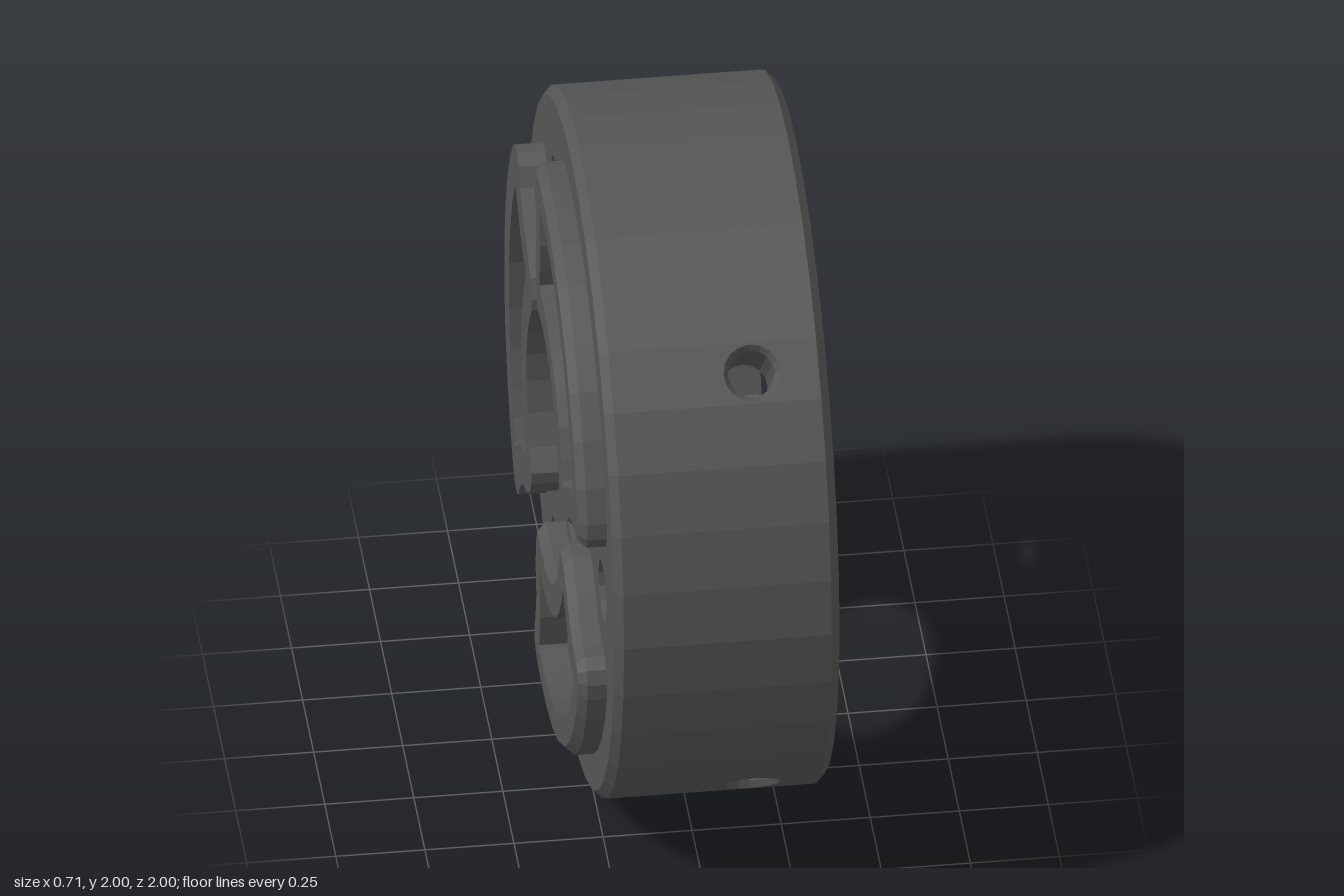
import * as THREE from 'three';

const V = (x, y) => new THREE.Vector2(x, y);
const polar = (r, deg) => V(r * Math.cos(deg * Math.PI / 180), r * Math.sin(deg * Math.PI / 180));
const turn = (p, deg) => p.clone().rotateAround(V(0, 0), deg * Math.PI / 180);
const circle = (r, n, cx = 0, cy = 0) =>
  Array.from({ length: n }, (_, i) => polar(r, i * 360 / n).add(V(cx, cy)));

// Flat-shaded quads between loops [points, z]; rising z faces outward, falling z inward
function wall(rings, skip = () => false) {
  const pos = [];
  for (let k = 0; k + 1 < rings.length; k++) {
    const [p, z0] = rings[k], [q, z1] = rings[k + 1], n = p.length;
    for (let i = 0; i < n; i++) {
      if (skip(i, k)) continue;
      const j = (i + 1) % n;
      const a = [p[i].x, p[i].y, z0], b = [p[j].x, p[j].y, z0];
      const c = [q[j].x, q[j].y, z1], d = [q[i].x, q[i].y, z1];
      pos.push(...a, ...b, ...c, ...a, ...c, ...d);
    }
  }
  const g = new THREE.BufferGeometry();
  g.setAttribute('position', new THREE.Float32BufferAttribute(pos, 3));
  g.computeVertexNormals();
  return g;
}

function shapeOf(points, holes = []) {
  const s = new THREE.Shape(points);
  s.holes = holes.map(h => new THREE.Path(h));
  return s;
}

// Flat cap at height z, facing +z or (flipped) -z
function cap(points, holes, z, flip = false) {
  const g = new THREE.ShapeGeometry(shapeOf(points, holes));
  if (flip) {
    const ix = g.index.array;
    for (let i = 0; i < ix.length; i += 3) [ix[i], ix[i + 1]] = [ix[i + 1], ix[i]];
  }
  const flat = g.toNonIndexed().translate(0, 0, z);
  flat.computeVertexNormals();
  return flat;
}

// Frame with x along a direction in the disc plane and y along the hub axis
const frame = (d, at = V(0, 0)) => new THREE.Matrix4().makeBasis(
  new THREE.Vector3(d.x, d.y, 0), new THREE.Vector3(0, 0, 1), new THREE.Vector3(d.y, -d.x, 0))
  .setPosition(at.x, at.y, 0);

// Moves a loop inward by d
function inset(loop, d) {
  const n = loop.length;
  return loop.map((p, i) => {
    const t = loop[(i + 1) % n].clone().sub(loop[(i + n - 1) % n]).normalize();
    return V(p.x - t.y * d, p.y + t.x * d);
  });
}

// Kidney loop from one end, given beside a bolt hole lying on the +x axis
function kidney(innerR, innerAngles, end, outerR, outerAngles) {
  const half = [
    ...innerAngles.map(a => polar(innerR, a)),
    ...end.map(([x, y]) => V(x, y)),
    ...outerAngles.map(a => polar(outerR, a)),
  ].map(p => turn(p, -60));
  return [...half, ...half.slice().reverse().map(p => V(p.x, -p.y))];
}

export function createModel() {
  const model = new THREE.Group();
  model.name = 'mountingHub';
  const mat = new THREE.MeshStandardMaterial({ color: 0x555555, flatShading: true });
  const add = (name, geo, parent = model) => {
    const m = new THREE.Mesh(geo, mat);
    m.name = name;
    parent.add(m);
  };

  const BACK = -0.278, FRONT = 0.355, FLOOR = -0.175, CH = 0.025, PAD = -0.357;
  const HOLE_Z = 0.143, HOLE_R = 0.066;

  // Outer wall with chamfers; four facets are left open for the radial holes
  const big = circle(1, 36), small = circle(1 - CH, 36);
  add('outerWall', wall(
    [[small, BACK], [big, BACK + CH], [big, FRONT - CH], [small, FRONT]],
    (i, k) => k === 1 && i % 9 === 4));

  // Cavity outline: wide arcs with rounded ends; two lugs are cut back beside bolt holes
  const fullEnd = [polar(0.75, 55), V(0.47, 0.69), V(0.477, 0.745), V(0.453, 0.785), V(0.406, 0.806)];
  const cutEnd = [V(0.506, 0.538), V(0.497, 0.593), V(0.513, 0.69), V(0.494, 0.775), V(0.406, 0.806)];
  const quarter = (right, left) => [
    ...right,
    ...[72, 81, 90, 99, 108].map(a => polar(0.903, a)),
    ...left.slice().reverse().map(p => V(-p.x, p.y)),
  ];
  const side = quarter(fullEnd, fullEnd), upper = quarter(cutEnd, fullEnd);
  const cavity = [
    ...side.map(p => turn(p, -90)), ...upper,
    ...side.map(p => turn(p, 90)), ...upper.map(p => V(p.x, -p.y)).reverse(),
  ];
  const n = side.length;
  add('cavityWall', wall([[cavity, FRONT], [cavity, FLOOR]],
    i => i % n === n - 1 || i === n || i === 4 * n - 2));
  add('rimFace', cap(small, [cavity], FRONT));

  // Floor plate with the bore and three bolt holes
  const holes = [circle(0.325, 20),
    ...[60, 180, 300].map(a => { const c = polar(0.715, a); return circle(0.09, 14, c.x, c.y); })];
  add('floorPlate', new THREE.ExtrudeGeometry(shapeOf(small, holes),
    { depth: FLOOR - BACK, bevelEnabled: false }).translate(0, 0, BACK));

  // Lugs with radial screw holes
  const panel = (w, z0, z1, holeR) =>
    cap([V(-w, z0), V(w, z0), V(w, z1), V(-w, z1)], [circle(holeR, 16, 0, HOLE_Z)], 0);
  const outD = Math.cos(5 * Math.PI / 180), outW = Math.sin(5 * Math.PI / 180);
  const inD = 0.75 * Math.cos(10 * Math.PI / 180), inW = 0.75 * Math.sin(10 * Math.PI / 180);
  const mouth = circle(0.08, 16, 0, HOLE_Z), bore = circle(HOLE_R, 16, 0, HOLE_Z);

  // Cut lug face: the screw hole breaks through its shortened edge
  const [A, B] = cutEnd, edge = (A.y - A.x) / Math.SQRT2;
  const open = Math.acos(edge / HOLE_R) * 180 / Math.PI;
  const bite = Array.from({ length: 13 }, (_, i) =>
    polar(HOLE_R, -open - i * (360 - 2 * open) / 12).add(V(0, HOLE_Z)));
  const cutFace = m => cap([V(-inW, FLOOR), V(edge, FLOOR), ...bite, V(edge, FRONT), V(-inW, FRONT)]
    .map(p => V(m * p.x, p.y)), [], 0);

  // Cut side wall of the lug, with the rest of the screw hole bitten out
  const len = A.distanceTo(B), high = Math.sqrt(HOLE_R ** 2 - edge ** 2);
  const notch = [1, 0.85, 0.5, 0, -0.5, -0.85, -1].map(h =>
    V(len * 0.92 * Math.sqrt(1 - h * h), HOLE_Z + h * high));
  const sideShape = [V(0, FLOOR), V(len, FLOOR), V(len, FRONT), V(0, FRONT), ...notch];

  for (const a of [45, 135, 225, 315]) {
    const lug = new THREE.Group();
    lug.name = 'lug';
    model.add(lug);
    const tangent = polar(1, a + 90), outward = frame(tangent);
    const inward = frame(tangent.clone().negate());
    const m = a === 45 ? -1 : a === 315 ? 1 : 0;
    add('outerFacet', panel(outW, BACK + CH, FRONT - CH, 0.08)
      .translate(0, 0, outD).applyMatrix4(outward), lug);
    add('lugFace', (m ? cutFace(m) : panel(inW, FLOOR, FRONT, HOLE_R))
      .translate(0, 0, -inD).applyMatrix4(inward), lug);
    add('screwHole', wall([[mouth, outD], [bore, outD - 0.02], [bore, inD]])
      .applyMatrix4(outward), lug);
    if (m) {
      const d = V(B.x - A.x, -m * (B.y - A.y)).normalize();
      add('lugCutSide', cap(sideShape, [], 0, m < 0)
        .applyMatrix4(frame(d, V(A.x, -m * A.y))), lug);
    }
  }

  // Raised kidney ribs on the back, each around a pocket; the first has square edges
  const outline = kidney(0.37, [53, 38, 23], [
    [0.355, 0.105], [0.367, 0.075], [0.40, 0.059], [0.46, 0.062], [0.51, 0.084],
    [0.56, 0.11], [0.62, 0.163], [0.70, 0.188], [0.76, 0.19], [0.797, 0.212],
    [0.815, 0.25], [0.812, 0.30]], 0.87, [27, 36, 45, 54]);
  const pocket = kidney(0.485, [53, 41, 30], [
    [0.447, 0.195], [0.463, 0.178], [0.51, 0.218], [0.58, 0.268], [0.65, 0.293],
    [0.685, 0.305], [0.69, 0.32]], 0.765, [30, 36, 45, 54]);
  for (const a of [0, 120, 240]) {
    const rib = new THREE.Group();
    rib.name = 'kidneyRib';
    rib.rotation.z = a * Math.PI / 180;
    model.add(rib);
    const top = a ? inset(outline, CH) : outline;
    add('ribOuterWall', wall([[top, PAD], [outline, PAD + CH], [outline, BACK]]), rib);
    add('ribPocketWall', wall([[pocket, BACK], [pocket, PAD]]), rib);
    add('ribTop', cap(top, [pocket], PAD, true), rib);
  }

  // Turn the hub axis onto x and stand it on the ground
  model.rotation.y = Math.PI / 2;
  model.position.set(0, 1, 0);
  const root = new THREE.Group();
  root.name = 'hub';
  root.add(model);
  return root;
}
